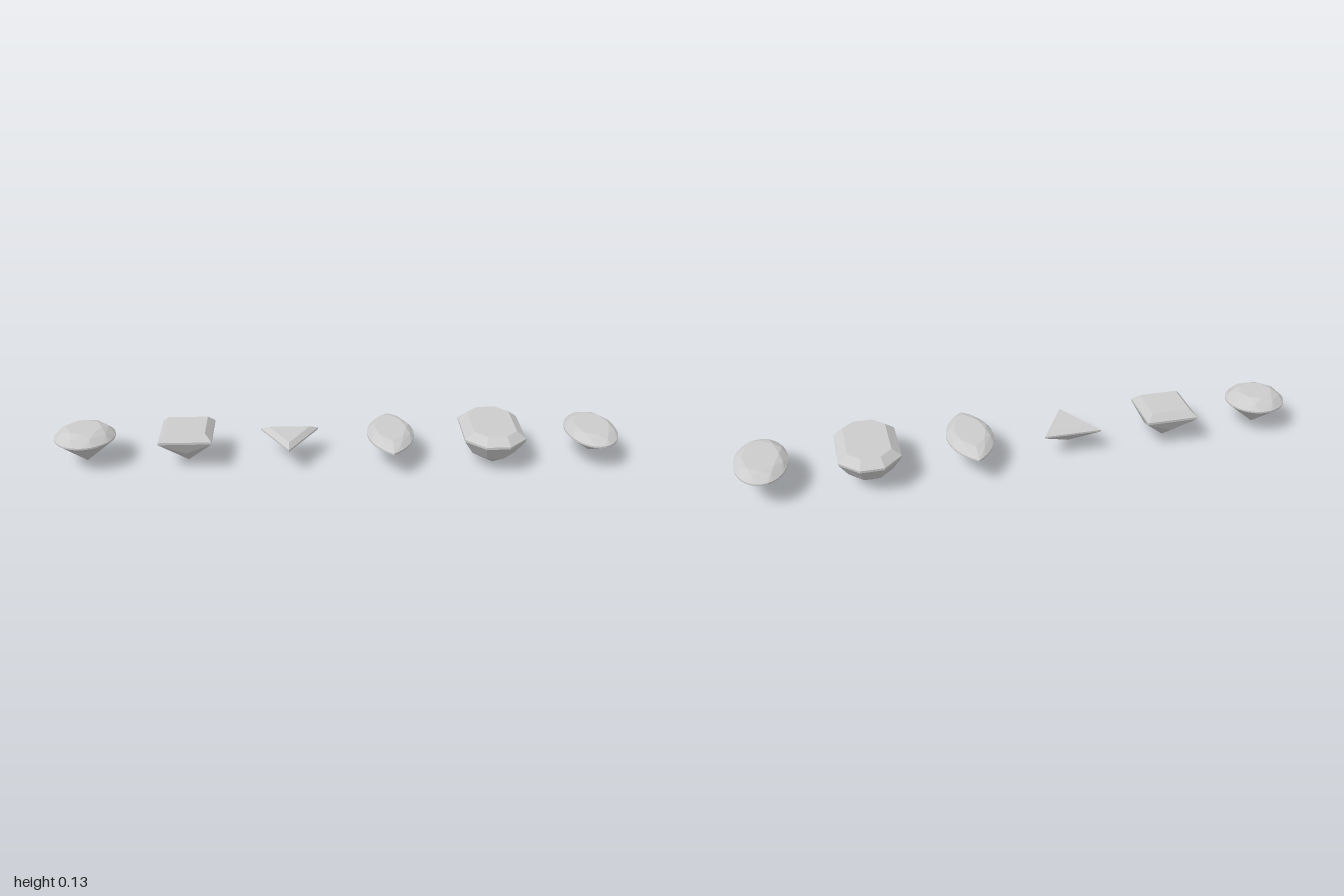
import * as THREE from 'three';
import { ConvexGeometry } from 'three/addons/geometries/ConvexGeometry.js';

const TAU = Math.PI * 2;
const material = new THREE.MeshStandardMaterial({ color: 0xcccccc, flatShading: true });

// Outlines: u runs 0..1 around the stone and gives [x, z]
const ellipse = (rx, rz) => (u) => [rx * Math.cos(u * TAU), rz * Math.sin(u * TAU)];

// Pointed oval made of two circular arcs
function lens(w, l) {
  const R = (w * w + l * l) / (2 * w);
  const A = Math.asin(l / R);
  return (u) => {
    const side = u < 0.25 || u >= 0.75 ? 1 : -1;
    const centre = side > 0 ? (u >= 0.75 ? 1 : 0) : 0.5;
    const a = (u - centre) * 4 * A * side;
    return [side * (R * Math.cos(a) - (R - w)), R * Math.sin(a)];
  };
}

// One horizontal ring of corners
function ring(outline, y, n, scale = 1, shift = 0) {
  return Array.from({ length: n }, (_, i) => {
    const [x, z] = outline(((i + shift) / n) % 1);
    return new THREE.Vector3(x * scale, y, z * scale);
  });
}

// A flat polygon of [x, z] corners at height y
const level = (corners, y) => corners.map(([x, z]) => new THREE.Vector3(x, y, z));
const rect = (x, z) => [[x, z], [-x, z], [-x, -z], [x, -z]];
const octagon = (x, z, fx, fz) => [[x, fz], [fx, z], [-fx, z], [-x, fz], [-x, -fz], [-fx, -z], [fx, -z], [x, -fz]];

// Brilliant cut: eight-sided table, star and kite facets, girdle, pointed pavilion
function brilliant(outline, top, girdle, bottom, table) {
  const crown = top - girdle;
  return [
    ...ring(outline, top, 8, table),
    ...ring(outline, girdle + crown * 0.66, 8, table + (1 - table) * 0.56, 0.5),
    ...ring(outline, girdle, 32),
    ...ring(outline, girdle - 0.006, 32),
    new THREE.Vector3(0, bottom, 0),
  ];
}

// Square cut: the pavilion bulges along the middle of each side
function squareCut() {
  const h = 0.093;
  return [
    ...level(rect(0.07, 0.07), 0.138),
    ...level(rect(h, h), 0.114),
    ...level(rect(h, h), 0.106),
    ...level([[0.073, 0], [-0.073, 0], [0, 0.073], [0, -0.073]], 0.062),
    new THREE.Vector3(0, 0.003, 0),
  ];
}

// Triangular cut
function triangleCut() {
  const t = [[-0.103, -0.06], [0.103, -0.06], [0, 0.12]];
  const table = t.map(([x, z]) => [x * 0.72, z * 0.72]);
  return [
    ...level(table, 0.106),
    ...level(t, 0.092),
    ...level(t, 0.086),
    new THREE.Vector3(0, 0.03, 0),
  ];
}

// Step cut: clipped-corner tiers that close on a keel line
function stepCut() {
  return [
    ...level(octagon(0.075, 0.127, 0.033, 0.085), 0.137),
    ...level(octagon(0.107, 0.161, 0.042, 0.096), 0.112),
    ...level(octagon(0.107, 0.161, 0.042, 0.096), 0.104),
    ...level(octagon(0.075, 0.12, 0.03, 0.075), 0.05),
    ...level([[0, 0.058], [0, -0.058]], 0.006),
  ];
}

export function createModel() {
  const model = new THREE.Group();
  model.name = 'gemstones';
  const stones = [
    ['roundStone', -0.894, 0, brilliant(ellipse(0.107, 0.107), 0.138, 0.106, 0.008, 0.57)],
    ['squareStone', -0.535, -0.004, squareCut()],
    ['triangleStone', -0.173, -0.005, triangleCut()],
    ['marquiseStone', 0.187, 0, brilliant(lens(0.083, 0.168), 0.12, 0.098, 0.025, 0.66)],
    ['stepCutStone', 0.548, 0, stepCut()],
    ['ovalStone', 0.907, 0, brilliant(ellipse(0.092, 0.145), 0.123, 0.101, 0.02, 0.68)],
  ];
  for (const [name, x, z, points] of stones) {
    const mesh = new THREE.Mesh(new ConvexGeometry(points), material);
    mesh.name = name;
    mesh.position.set(x, 0, z);
    model.add(mesh);
  }
  return model;
}
